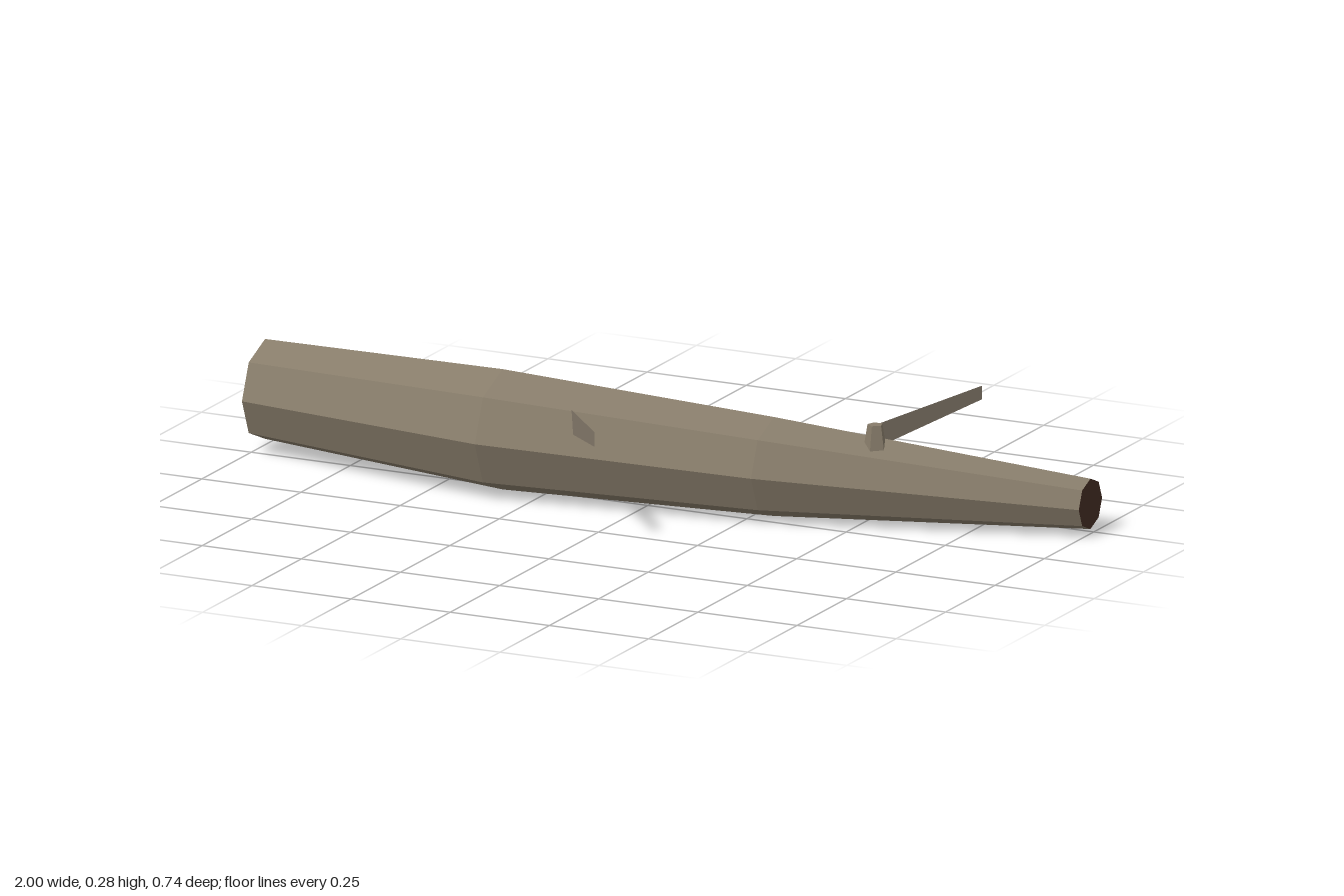
import * as THREE from 'three';

export function createModel() {
  const bark = new THREE.MeshStandardMaterial({ color: 0x877c6a, flatShading: true });
  bark.name = 'bark';
  const leafBark = new THREE.MeshStandardMaterial({ color: 0x857a6b, side: THREE.DoubleSide, flatShading: true });
  leafBark.name = 'thin bark';
  const cut = new THREE.MeshStandardMaterial({ color: 0x452e24, flatShading: true });
  cut.name = 'cut wood';

  const model = new THREE.Group();
  model.name = 'log';
  const add = (name, geometry, material) => {
    const mesh = new THREE.Mesh(geometry, material);
    mesh.name = name;
    model.add(mesh);
    return mesh;
  };

  // Bent eight-sided trunk: each ring is [x, centre y, centre z, radius]
  const rings = [
    [-1, 0.132, -0.07, 0.117],
    [-0.353, 0.142, 0.026, 0.141],
    [0.294, 0.117, -0.048, 0.116],
    [1, 0.071, -0.233, 0.059],
  ];
  const trunk = new THREE.CylinderGeometry(1, 1, 3, 8, 3);
  trunk.rotateZ(-Math.PI / 2);
  const p = trunk.attributes.position;
  for (let i = 0; i < p.count; i++) {
    const [x, y, z, r] = rings[Math.round(p.getX(i) + 1.5)];
    p.setXYZ(i, x, y + r * p.getY(i), z + r * p.getZ(i));
  }
  trunk.computeVertexNormals();
  add('trunk', trunk, [bark, cut, cut]);

  // Short five-sided stub of a broken branch
  const stub = add('branchStub', new THREE.CylinderGeometry(0.018, 0.031, 0.08, 5), bark);
  stub.position.set(0.53, 0.195, -0.088);

  // Thin upright slivers of bark, corners: inner bottom, outer bottom, outer top, inner top
  const sliver = (name, corners) => {
    const g = new THREE.BufferGeometry();
    g.setAttribute('position', new THREE.Float32BufferAttribute(corners.flat(), 3));
    g.setIndex([0, 1, 2, 0, 2, 3]);
    g.computeVertexNormals();
    add(name, g, leafBark);
  };
  sliver('frontSliver', [
    [-0.13, 0.18, 0.117], [0.05, 0.237, 0.37], [0.05, 0.271, 0.37], [-0.145, 0.231, 0.095],
  ]);
  sliver('backSliver', [
    [0.525, 0.175, -0.12], [0.658, 0.239, -0.37], [0.658, 0.271, -0.37], [0.512, 0.225, -0.095],
  ]);

  return model;
}
